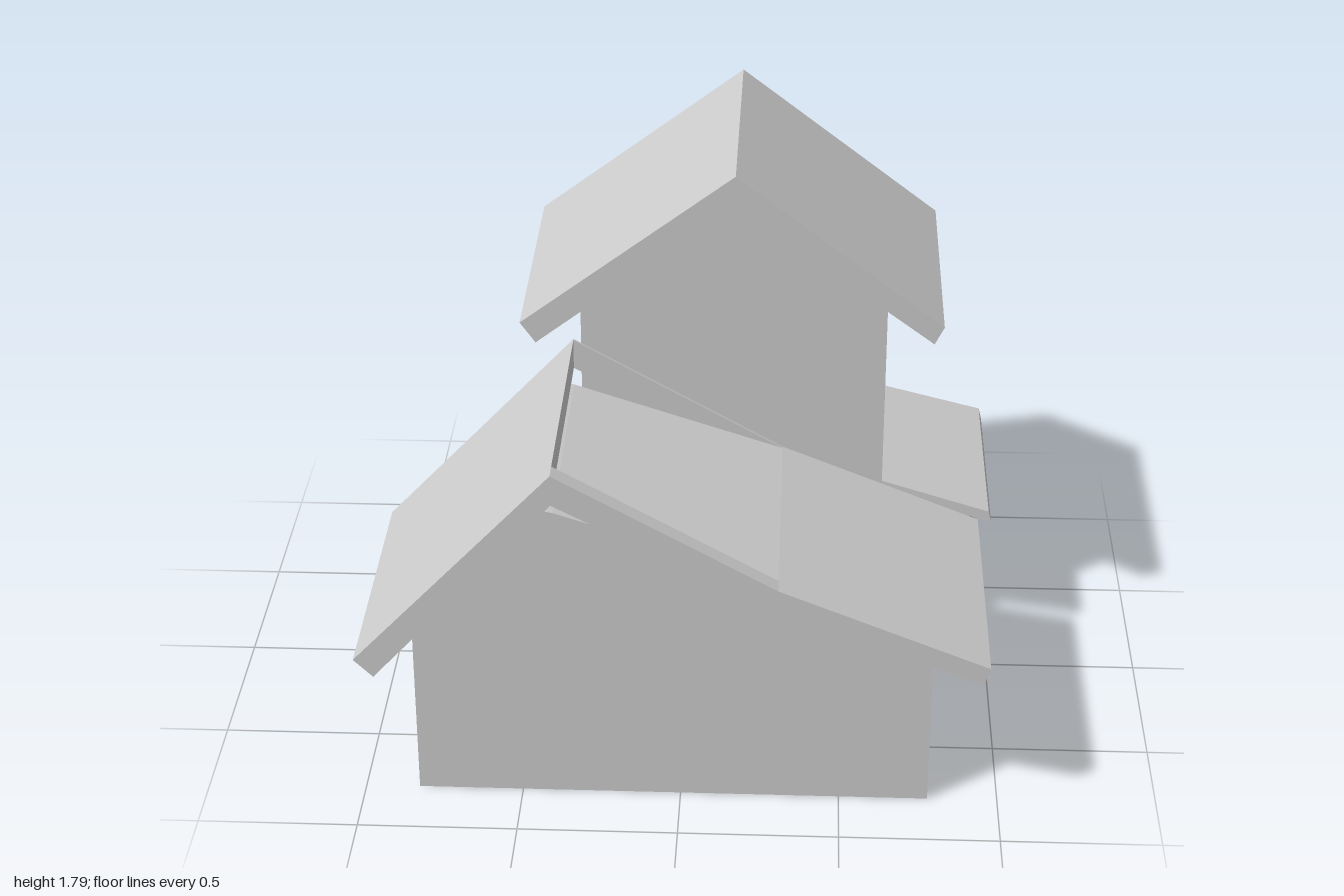
import * as THREE from 'three';

const mat = new THREE.MeshStandardMaterial({ color: 0xcccccc, side: THREE.DoubleSide });
const RECESS = 0.08;

const toShape = (pts) => new THREE.Shape(pts.map(([x, y]) => new THREE.Vector2(x, y)));

function addMesh(group, name, geometry) {
  const mesh = new THREE.Mesh(geometry, mat);
  mesh.name = name;
  group.add(mesh);
  return mesh;
}

// Front-facing profile (x, y) extruded between two z values
function slab(group, name, pts, z0, z1) {
  const geo = new THREE.ExtrudeGeometry(toShape(pts), { depth: z1 - z0, bevelEnabled: false });
  return addMesh(group, name, geo.translate(0, 0, z0));
}

// Flat single sheet for a gable wall
function gable(group, name, pts, z) {
  addMesh(group, name, new THREE.ShapeGeometry(toShape(pts)).translate(0, 0, z));
}

// Side wall facing +x: a frame with recessed panels; openings are [y0, y1]
function sideWall(group, x, z0, z1, y0, y1, border, openings) {
  const shape = toShape([[-z1, y0], [-z0, y0], [-z0, y1], [-z1, y1]]);
  const u0 = -z1 + border, u1 = -z0 - border;
  for (const [a, b] of openings) {
    shape.holes.push(new THREE.Path([[u0, a], [u0, b], [u1, b], [u1, a]].map(([u, v]) => new THREE.Vector2(u, v))));
    const panel = new THREE.PlaneGeometry(u1 - u0, b - a).rotateY(Math.PI / 2);
    addMesh(group, 'recessedPanel', panel.translate(x - RECESS, (a + b) / 2, (z0 + z1) / 2));
  }
  const frame = new THREE.ExtrudeGeometry(shape, { depth: RECESS, bevelEnabled: false });
  addMesh(group, 'sideWallFrame', frame.rotateY(Math.PI / 2).translate(x - RECESS, 0, 0));
}

function lowHouse() {
  const g = new THREE.Group();
  g.name = 'lowHouse';
  const wallBase = [[-0.83, 0.6], [-0.83, 0], [0.78, 0], [0.78, 0.56], [0.29, 0.75]];
  gable(g, 'frontWall', [...wallBase, [-0.38, 1.1]], 0.785);
  gable(g, 'backWall', [...wallBase, [-0.38, 1.02], [-0.45, 1.02]], 0.07);
  sideWall(g, 0.78, 0.07, 0.785, 0, 0.56, 0.04, [[0.045, 0.53]]);

  // Roof: solid short slope, and a long slope that dips below its rims near the ridge
  const outer = [[-0.38, 1.2], [0.3, 0.82], [0.95, 0.56]];
  const inner = [[0.93, 0.5], [0.29, 0.75], [-0.38, 1.1]];
  slab(g, 'shortRoofSlope', [[-1, 0.54], [-0.38, 1.2], [-0.38, 1.1], [-0.94, 0.48]], -0.015, 0.89);
  slab(g, 'longRoofFrontRim', [...outer, ...inner], 0.83, 0.89);
  slab(g, 'longRoofBackRim', [...outer, ...inner], -0.015, -0.005);
  slab(g, 'longRoofSlope', [[-0.43, 1.05], [-0.38, 1.04], [0.3, 0.82], [0.95, 0.56], [0.93, 0.5], [0.29, 0.75], [-0.43, 1.02]], -0.005, 0.83);
  return g;
}

function tower() {
  const g = new THREE.Group();
  g.name = 'tower';
  const wall = [[-0.36, 0.025], [0.63, 0.025], [0.63, 1.335], [0.14, 1.69], [-0.36, 1.31]];
  gable(g, 'frontWall', wall, -0.065);
  gable(g, 'backWall', wall, -0.835);
  sideWall(g, 0.63, -0.835, -0.065, 0.025, 1.32, 0.04, [[0.065, 0.52], [0.935, 1.2]]);
  slab(g, 'roof', [[-0.55, 1.27], [0.14, 1.79], [0.81, 1.28], [0.78, 1.22], [0.14, 1.69], [-0.5, 1.2]], -0.9, 0.015);

  // Awning, slightly wider at its outer edge
  const awning = slab(g, 'awning', [[0.63, 0.65], [0.99, 0.55], [1, 0.51], [0.63, 0.61]], -0.82, -0.085);
  const p = awning.geometry.attributes.position;
  for (let i = 0; i < p.count; i++) {
    if (p.getX(i) < 0.7) p.setZ(i, -0.45 + (p.getZ(i) + 0.45) * 0.95);
  }
  awning.geometry.computeVertexNormals();
  return g;
}

export function createModel() {
  const model = new THREE.Group();
  model.name = 'house';
  model.add(lowHouse(), tower());
  return model;
}
